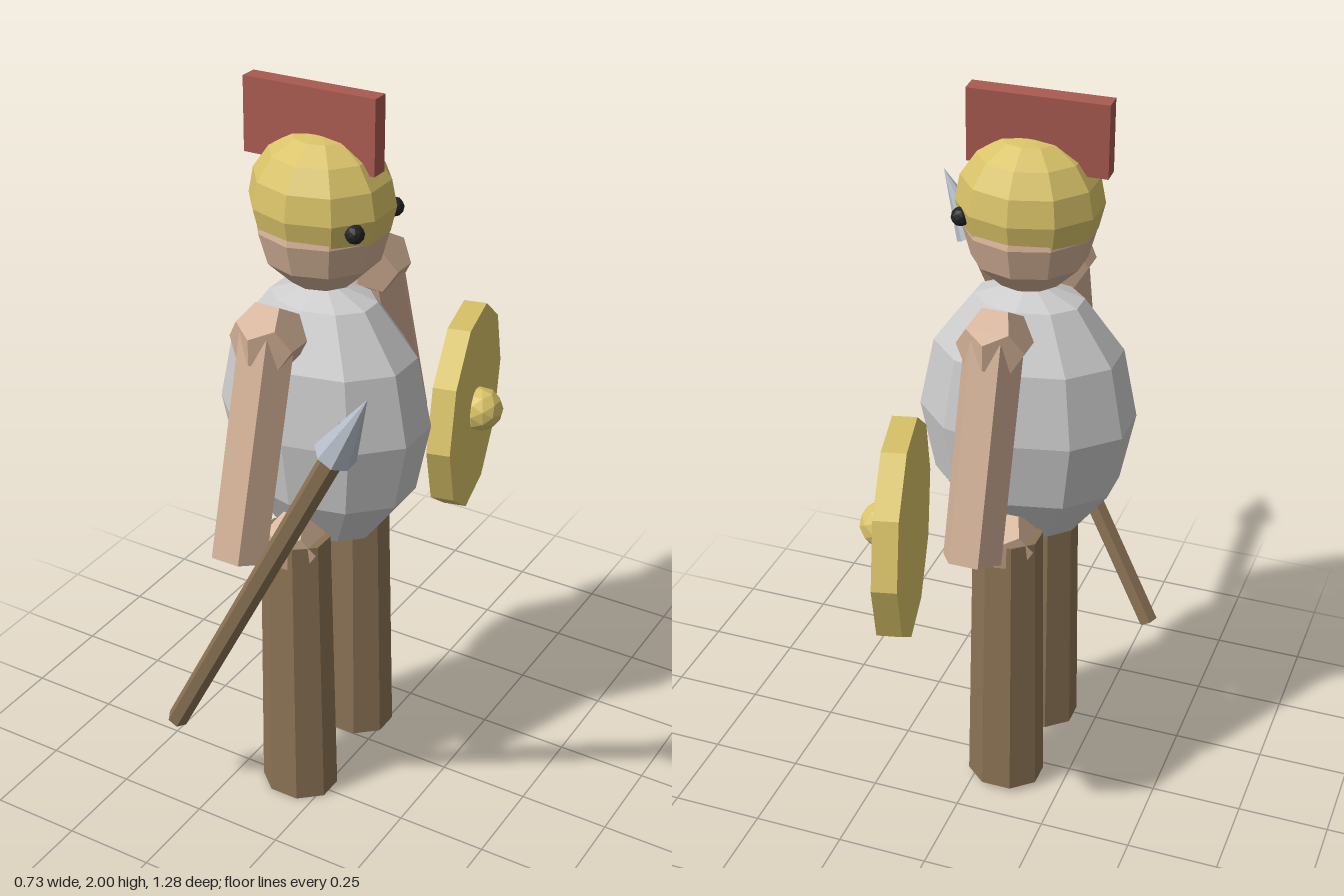
import * as THREE from 'three';

const mat = (color, side = THREE.FrontSide) =>
  new THREE.MeshStandardMaterial({ color, flatShading: true, side });
const skin = mat(0xd2b096), gold = mat(0xd8c268, THREE.DoubleSide), brown = mat(0x8b7355);
const armour = mat(0xcccccc), steel = mat(0xb8c0cc), red = mat(0xa85a50), black = mat(0x222222);

// the figure's own midline
const CX = -0.082, CZ = 0.085;

export function createModel() {
  const model = new THREE.Group();
  model.name = 'warrior';

  const add = (name, geometry, material, x, y, z) => {
    const mesh = new THREE.Mesh(geometry, material);
    mesh.name = name;
    mesh.position.set(x, y, z);
    model.add(mesh);
    return mesh;
  };
  const ellipsoid = (rx, ry, rz, rings, thetaLength = Math.PI) =>
    new THREE.SphereGeometry(1, 10, rings, 0, Math.PI * 2, 0, thetaLength)
      .rotateY(Math.PI / 10).scale(rx, ry, rz);
  // cylinder or cone running from point a to point b
  const rod = (name, a, b, rTop, rBottom, sides, material) => {
    const dir = b.clone().sub(a);
    const geo = new THREE.CylinderGeometry(rTop, rBottom, dir.length(), sides)
      .rotateY(Math.PI / sides);
    const mesh = add(name, geo, material, 0, 0, 0);
    mesh.position.copy(a).lerp(b, 0.5);
    mesh.quaternion.setFromUnitVectors(new THREE.Vector3(0, 1, 0), dir.normalize());
    return mesh;
  };

  // torso and head
  add('torso', ellipsoid(0.294, 0.385, 0.212, 6), armour, CX, 1.115, CZ);
  add('head', ellipsoid(0.172, 0.168, 0.168, 6), skin, CX, 1.645, CZ);
  add('helmet', ellipsoid(0.19, 0.176, 0.175, 5, 1.99), gold, CX, 1.714, CZ);
  const crest = add('crest', new THREE.BoxGeometry(0.365, 0.193, 0.05), red, -0.105, 1.902, CZ);
  crest.rotation.set(-0.04, 0.03, 0.01);

  // limbs and eyes, mirrored across the midline
  for (const s of [1, -1]) {
    const side = s > 0 ? 'right' : 'left';
    add(side + 'Eye', new THREE.IcosahedronGeometry(0.025, 1), black, 0.067, 1.686, CZ + s * 0.096);

    add(side + 'Shoulder', new THREE.DodecahedronGeometry(0.096), skin, CX, 1.44, CZ + s * 0.257);
    rod(side + 'Arm',
      new THREE.Vector3(CX + 0.002, 0.9, CZ + s * 0.417),
      new THREE.Vector3(CX, 1.46, CZ + s * 0.257), 0.078, 0.078, 6, skin);

    add(side + 'Hip', new THREE.DodecahedronGeometry(0.09), skin, CX, 0.795, CZ + s * 0.16);
    const base = s > 0 ? 0 : 0.015;
    const leg = rod(side + 'Leg',
      new THREE.Vector3(CX, base, CZ + s * 0.156),
      new THREE.Vector3(CX, 0.82, CZ + s * 0.153), 0.095, 0.108, 8, brown);
    leg.scale.z = 0.87;
  }

  // spear held beside the right hand
  const butt = new THREE.Vector3(-0.345, 0.245, 0.447);
  const tip = new THREE.Vector3(0.357, 1.525, 0.615);
  const along = t => butt.clone().lerp(tip, t);
  rod('spearShaft', butt, along(0.92), 0.029, 0.029, 6, brown);
  rod('spearHead', along(0.86), tip, 0, 0.052, 8, steel);

  // round shield beside the left arm
  const shield = add('shield', new THREE.CylinderGeometry(0.288, 0.288, 0.064, 10), gold, 0.1, 0.97, -0.357);
  shield.rotation.set(0, 0.237, -Math.PI / 2);
  add('shieldBoss', new THREE.IcosahedronGeometry(0.062, 1), gold, 0.15, 0.97, -0.357);

  return model;
}
